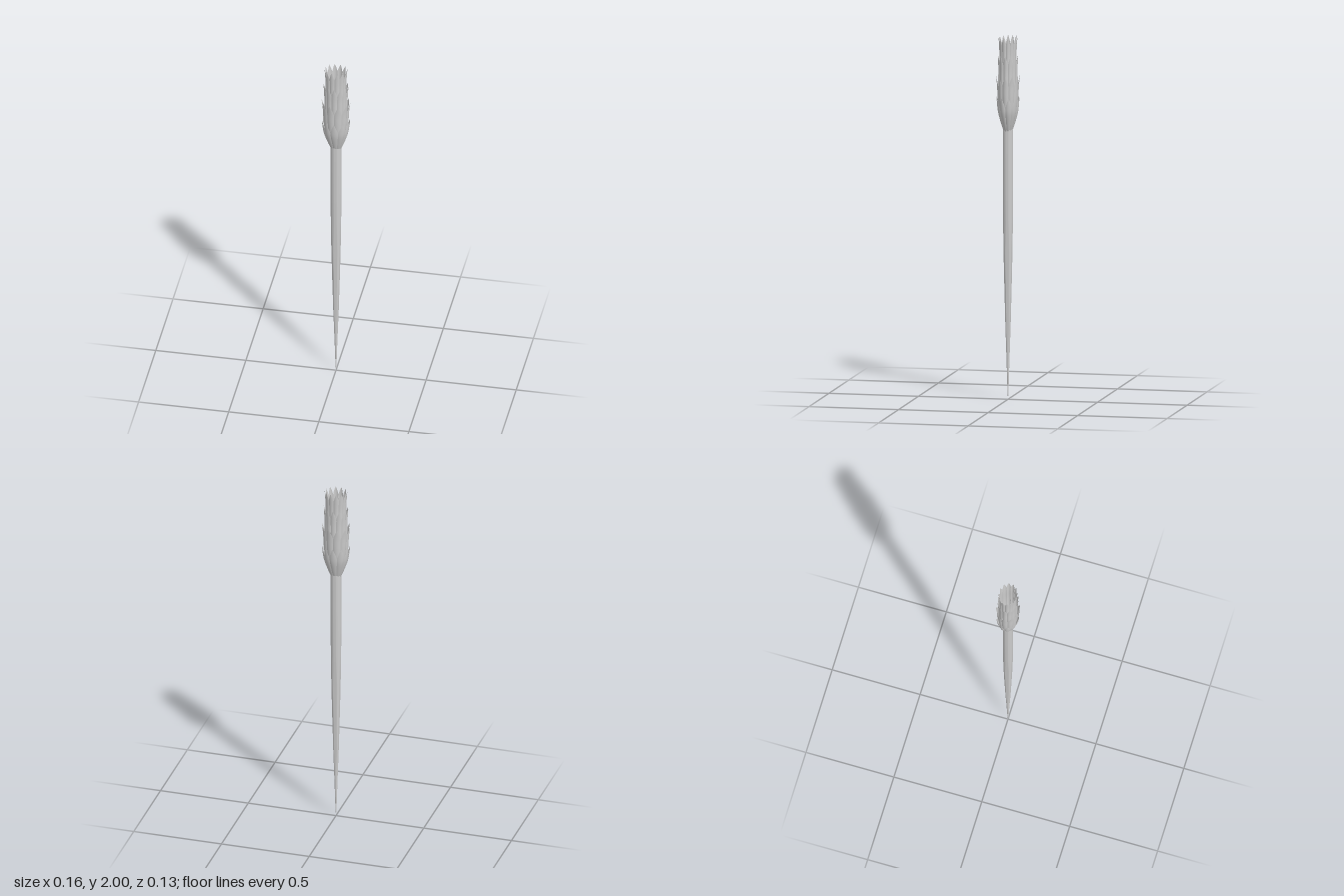
import * as THREE from 'three';
import { toCreasedNormals } from 'three/addons/utils/BufferGeometryUtils.js';

const material = new THREE.MeshStandardMaterial({ color: 0xcccccc, side: THREE.DoubleSide });
const FLAT = 0.81; // the flower head is oval: narrower in z than in x

// One petal: a curved leaf that follows a radius/height profile and ends in a pointed tip
function petalGeometry(profile, count, tipLength, angle) {
  const curve = new THREE.SplineCurve(profile.map(([r, y]) => new THREE.Vector2(r, y)));
  const tipY = profile[profile.length - 1][1];
  const rows = 20, cols = 8, positions = [], indices = [];
  for (let i = 0; i <= rows; i++) {
    const p = curve.getPoint(1 - Math.pow(1 - i / rows, 1.4));
    const t = Math.min(1, Math.max(0, (tipY - p.y) / tipLength));
    const halfWidth = (Math.PI / count) * 1.2 * Math.sin(t * Math.PI / 2);
    for (let j = 0; j <= cols; j++) {
      const u = (j / cols) * 2 - 1;
      const a = angle + u * halfWidth;
      const r = p.x * (1 - 0.1 * u * u * t); // edges tuck behind the neighbours
      positions.push(r * Math.sin(a), p.y, r * Math.cos(a) * FLAT);
    }
  }
  const w = cols + 1;
  for (let i = 0; i < rows; i++) {
    for (let j = 0; j < cols; j++) {
      const a = i * w + j;
      indices.push(a, a + 1, a + w + 1);
      if (i < rows - 1) indices.push(a, a + w + 1, a + w);
    }
  }
  const geometry = new THREE.BufferGeometry();
  geometry.setAttribute('position', new THREE.Float32BufferAttribute(positions, 3));
  geometry.setIndex(indices);
  geometry.computeVertexNormals();
  return geometry;
}

function petalTier(name, profile, count, tipLength, offset) {
  const tier = new THREE.Group();
  tier.name = name;
  for (let k = 0; k < count; k++) {
    const angle = ((k + offset) / count) * Math.PI * 2;
    const petal = new THREE.Mesh(petalGeometry(profile, count, tipLength, angle), material);
    petal.name = 'petal';
    tier.add(petal);
  }
  return tier;
}

export function createModel() {
  const group = new THREE.Group();
  group.name = 'flowerSpike';

  // Long tapering shaft with a flat top
  const outline = [
    [0, 0], [0.003, 0.04], [0.008, 0.2], [0.015, 0.4], [0.0205, 0.6],
    [0.0255, 0.8], [0.0285, 1.0], [0.03, 1.2], [0.03, 1.49], [0, 1.49],
  ].map(([r, y]) => new THREE.Vector2(r, y));
  const shaftGeometry = toCreasedNormals(new THREE.LatheGeometry(outline, 32), 0.8);
  const shaft = new THREE.Mesh(shaftGeometry, material);
  shaft.name = 'shaft';
  shaft.scale.z = 0.95;
  group.add(shaft);

  // Four nested tiers of petals, from the outer low one to the inner tall one
  group.add(
    petalTier('lowerPetals',
      [[0.028, 1.475], [0.047, 1.52], [0.066, 1.575], [0.074, 1.62], [0.079, 1.67]], 10, 0.1, 0),
    petalTier('middlePetals',
      [[0.023, 1.477], [0.043, 1.525], [0.06, 1.58], [0.069, 1.66], [0.073, 1.73], [0.08, 1.79]], 10, 0.1, 0.5),
    petalTier('upperPetals',
      [[0.018, 1.485], [0.04, 1.54], [0.055, 1.61], [0.064, 1.72], [0.065, 1.82], [0.07, 1.9]], 12, 0.08, 0),
    petalTier('crownPetals',
      [[0.015, 1.493], [0.034, 1.56], [0.048, 1.65], [0.057, 1.78], [0.057, 1.9], [0.063, 2.0]], 12, 0.07, 0.5),
  );
  return group;
}
